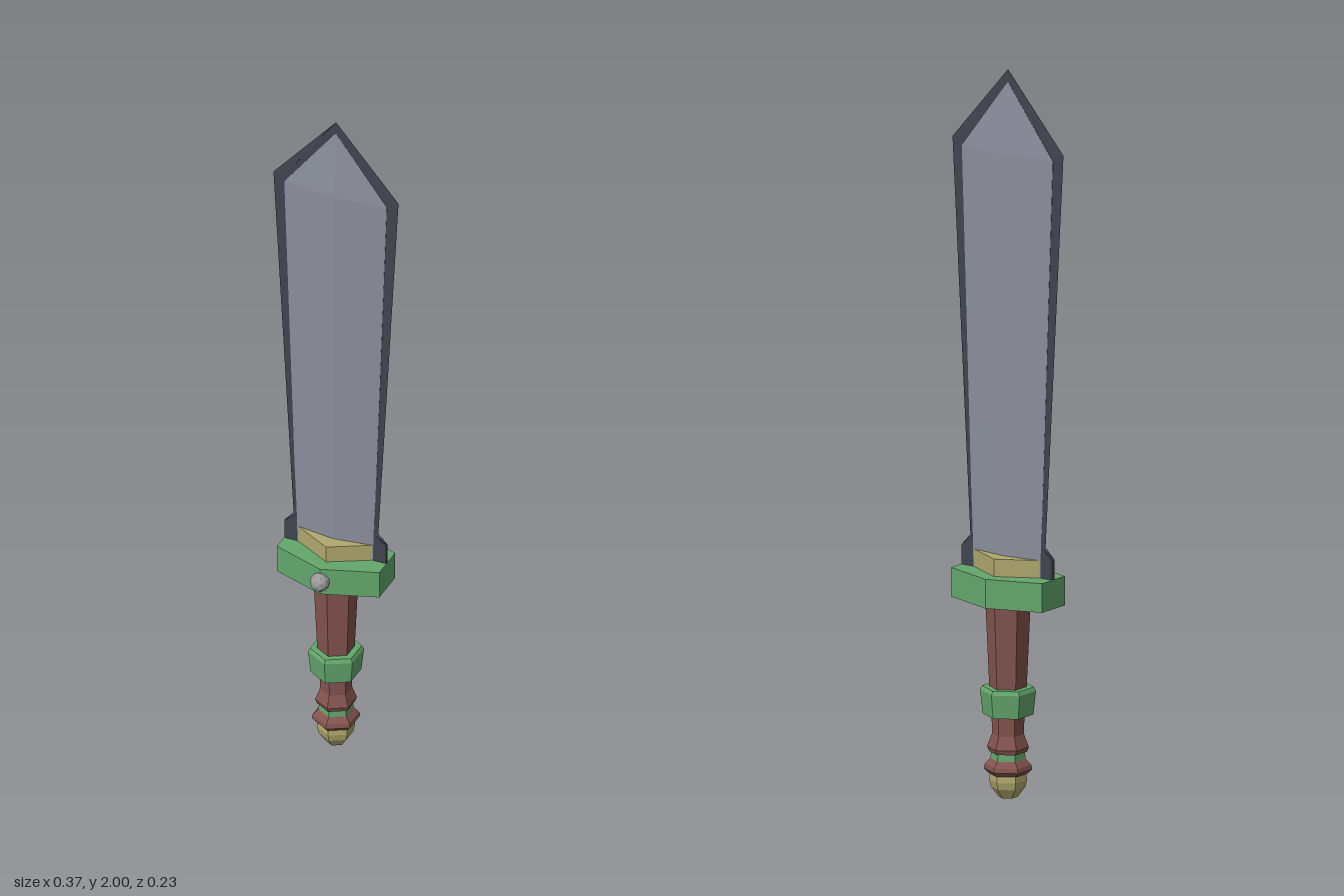
import * as THREE from 'three';

const GREEN = 0x64a76d, YELLOW = 0xb0a86e, RED = 0x84544f;

function addMesh(group, name, geometry, color) {
  const material = new THREE.MeshStandardMaterial({ color, flatShading: true });
  const mesh = new THREE.Mesh(geometry, material);
  mesh.name = name;
  group.add(mesh);
  return mesh;
}

// Skin a stack of horizontal rings; each ring is a list of [x, z] at height y
function loft(sections) {
  const n = sections[0].ring.length, pos = [], idx = [];
  sections.forEach(({ y, ring }) => ring.forEach(([x, z]) => pos.push(x, y, z)));
  for (let s = 0; s < sections.length - 1; s++) {
    for (let i = 0; i < n; i++) {
      const a = s * n + i, b = s * n + (i + 1) % n;
      idx.push(a, b, a + n, b, b + n, a + n);
    }
  }
  const last = (sections.length - 1) * n;
  for (let i = 1; i < n - 1; i++) idx.push(0, i + 1, i, last, last + i, last + i + 1);
  const g = new THREE.BufferGeometry();
  g.setAttribute('position', new THREE.Float32BufferAttribute(pos, 3));
  g.setIndex(idx);
  const flat = g.toNonIndexed();
  flat.computeVertexNormals();
  return flat;
}

// Vertical prism from an [x, z] outline
const prism = (ring, y0, y1) => loft([{ y: y0, ring }, { y: y1, ring }]);

// Six-sided turned part from [radius, y] pairs, listed bottom to top
const turned = (profile) =>
  new THREE.LatheGeometry(profile.map(([r, y]) => new THREE.Vector2(r, y)), 6);

export function createModel() {
  const sword = new THREE.Group();
  sword.name = 'sword';
  const body = new THREE.Group();
  body.name = 'swordBody';
  body.position.z = -0.016;
  sword.add(body);

  // Ridged blade: half width w, edge half thickness e, ridge half thickness t
  const ridged = (y, w, e, t) =>
    ({ y, ring: [[w, -e], [0, -t], [-w, -e], [-w, e], [0, t], [w, e]] });
  addMesh(body, 'blade', loft([
    ridged(0.6, 0.11, 0.005, 0.02),
    ridged(1.77, 0.15, 0.003, 0.02),
    ridged(1.965, 0.001, 0.001, 0.0015),
  ]), 0x8a8e9b);

  // Dark sharpened rim: outer half width o, inner half width w
  const rim = (y, o, w, e) =>
    ({ y, ring: [[o, 0], [w, -e], [-w, -e], [-o, 0], [-w, e], [w, e]] });
  addMesh(body, 'bladeEdge', loft([
    rim(0.6, 0.15, 0.149, 0.005),
    rim(0.675, 0.15, 0.149, 0.005),
    rim(0.705, 0.124, 0.113, 0.005),
    rim(1.79, 0.183, 0.15, 0.002),
    rim(2.0, 0.001, 0.0005, 0.0005),
  ]), 0x40444f);

  // Collar and crossguard
  addMesh(body, 'collar',
    prism([[0.118, 0], [0, -0.064], [-0.118, 0], [0, 0.064]], 0.61, 0.668), YELLOW);
  addMesh(body, 'guard', prism([
    [0.15, -0.051], [0, -0.102], [-0.15, -0.051],
    [-0.15, 0.051], [0, 0.102], [0.15, 0.051],
  ], 0.54, 0.62), GREEN);

  // Round stud on the front of the guard
  addMesh(body, 'stud', new THREE.IcosahedronGeometry(0.027, 1), 0x9a9a9a)
    .position.set(0, 0.58, 0.104);

  // Grip, with its band and turned lower rings
  addMesh(body, 'grip', turned([
    [0, 0.1], [0.042, 0.1], [0.044, 0.24], [0.05, 0.3], [0.061, 0.545], [0, 0.545],
  ]), RED);
  addMesh(body, 'gripBand', turned([
    [0, 0.23], [0.068, 0.23], [0.075, 0.295], [0.069, 0.306], [0, 0.306],
  ]), GREEN);
  addMesh(body, 'upperRing', turned([
    [0, 0.127], [0.051, 0.127], [0.056, 0.14], [0.043, 0.175], [0, 0.175],
  ]), RED);
  addMesh(body, 'neckRing', turned([
    [0, 0.1], [0.048, 0.1], [0.045, 0.128], [0, 0.128],
  ]), GREEN);
  addMesh(body, 'lowerRing', turned([
    [0, 0.068], [0.054, 0.068], [0.065, 0.08], [0.062, 0.092], [0.047, 0.108], [0, 0.108],
  ]), RED);

  // Faceted pommel
  addMesh(body, 'pommel', turned([
    [0, 0], [0.026, 0.003], [0.046, 0.03], [0.051, 0.05], [0.049, 0.072], [0, 0.072],
  ]), YELLOW);

  return sword;
}
